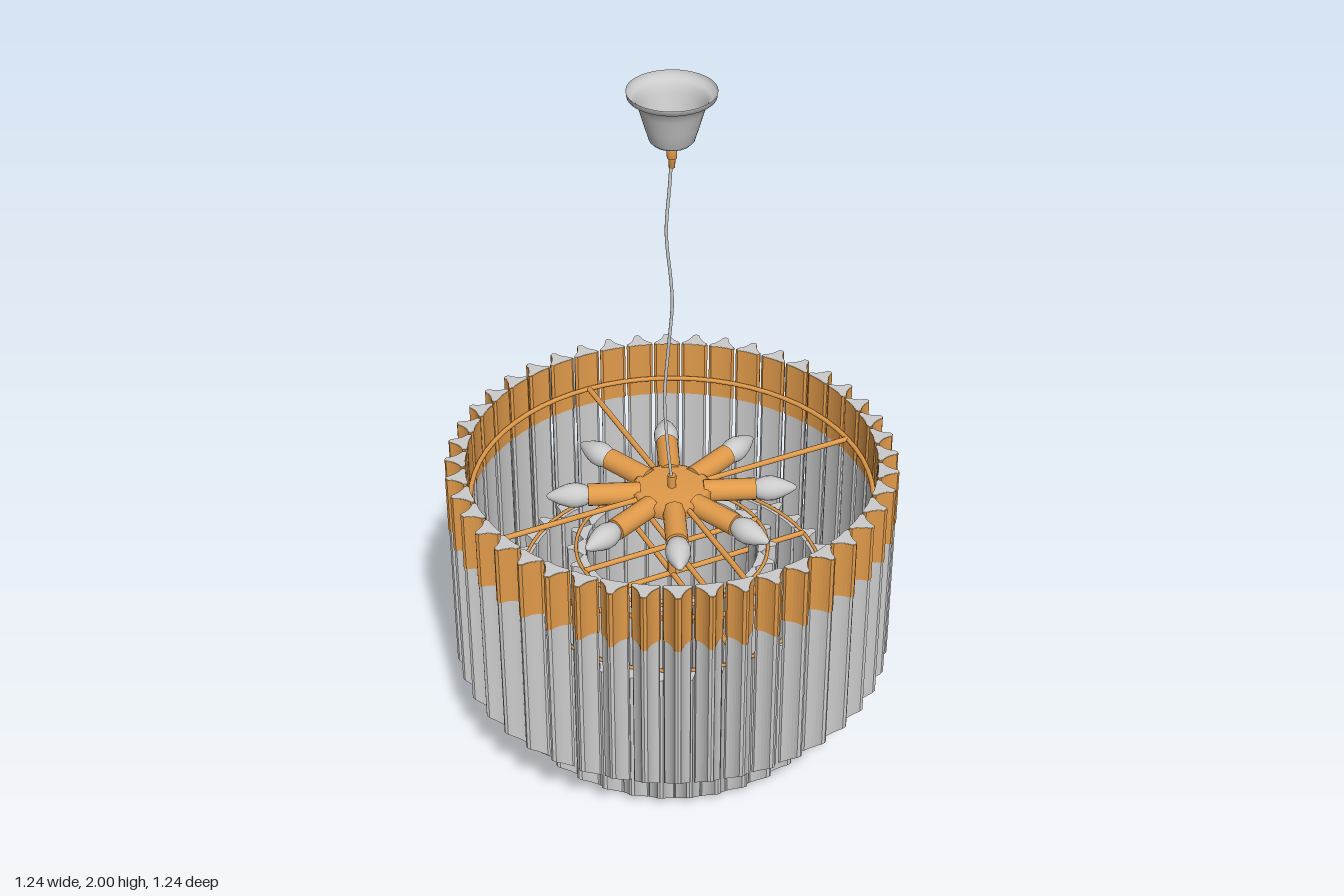
import * as THREE from 'three';

const grey = new THREE.MeshStandardMaterial({ color: 0xcccccc });
const greyThin = new THREE.MeshStandardMaterial({ color: 0xcccccc, side: THREE.DoubleSide });
const gold = new THREE.MeshStandardMaterial({ color: 0xe09a4a });

function add(parent, name, geometry, material) {
  const mesh = new THREE.Mesh(geometry, material);
  mesh.name = name;
  parent.add(mesh);
  return mesh;
}

// Three-pointed bar section with hollow sides: flat back at 0, tip pointing outwards
const DEPTH = 0.056;
function barShape(scale = 1) {
  const cy = 0.02;
  const p = (x, y) => [x * scale, cy + (y - cy) * scale];
  const s = new THREE.Shape();
  s.moveTo(...p(-0.029, 0));
  s.quadraticCurveTo(...p(0, 0.005), ...p(0.029, 0));
  s.lineTo(...p(0.036, 0.004));
  s.lineTo(...p(0.034, 0.012));
  s.quadraticCurveTo(...p(0.014, 0.025), ...p(0.008, 0.052));
  s.lineTo(...p(0, DEPTH));
  s.lineTo(...p(-0.008, 0.052));
  s.quadraticCurveTo(...p(-0.014, 0.025), ...p(-0.034, 0.012));
  s.lineTo(...p(-0.036, 0.004));
  s.closePath();
  return s;
}

// Upright bar; slant lifts the lower end towards the outer tip
function barGeometry(bottom, top, scale, slant) {
  const g = new THREE.ExtrudeGeometry(barShape(scale), {
    depth: top - bottom, bevelEnabled: false, curveSegments: 5,
  });
  const pos = g.attributes.position;
  for (let i = 0; i < pos.count; i++) {
    if (pos.getZ(i) < 1e-6) pos.setZ(i, Math.max(0, pos.getY(i)) * slant);
  }
  g.computeVertexNormals();
  g.rotateX(-Math.PI / 2);
  g.translate(0, bottom, 0);
  return g;
}

// Ring of hanging bars, with optional gold sleeves round their upper ends
function barTier(name, count, radius, bottom, top, sleeveBottom) {
  const tier = new THREE.Group();
  tier.name = name;
  const bar = barGeometry(bottom, top, 1, 0.85).translate(0, 0, -radius);
  const sleeve = sleeveBottom &&
    barGeometry(sleeveBottom, top - 0.001, 1.06, 0).translate(0, 0, -radius);
  for (let i = 0; i < count; i++) {
    const angle = (i / count) * Math.PI * 2;
    add(tier, 'glassBar', bar, grey).rotation.y = angle;
    if (sleeve) add(tier, 'goldSleeve', sleeve, gold).rotation.y = angle;
  }
  return tier;
}

// Hoop with two crossing rods
function hoopFrame(name, radius, y, tube) {
  const frame = new THREE.Group();
  frame.name = name;
  const hoop = new THREE.TorusGeometry(radius, tube, 8, 64).rotateX(Math.PI / 2);
  add(frame, 'hoop', hoop, gold);
  const rod = new THREE.CylinderGeometry(0.008, 0.008, radius * 2, 10).rotateZ(Math.PI / 2);
  for (let i = 0; i < 2; i++) add(frame, 'crossRod', rod, gold).rotation.y = (i * Math.PI) / 2;
  frame.position.y = y;
  return frame;
}

function lathe(points, segments) {
  return new THREE.LatheGeometry(points.map(([x, y]) => new THREE.Vector2(x, y)), segments);
}

export function createModel() {
  const model = new THREE.Group();
  model.name = 'tieredChandelier';

  // Three tiers of bars
  model.add(barTier('outerTier', 44, 0.564, 0.205, 0.89, 0.715));
  model.add(barTier('middleTier', 36, 0.41, 0.003, 0.48));
  model.add(barTier('innerTier', 22, 0.24, 0.1, 0.58));

  // Frames carrying the tiers
  model.add(hoopFrame('outerFrame', 0.557, 0.775, 0.007));
  model.add(hoopFrame('middleFrame', 0.425, 0.483, 0.005));
  model.add(hoopFrame('innerFrame', 0.27, 0.583, 0.005));

  // Central hub and stem
  const hub = lathe([[0, 0.745], [0.1, 0.745], [0.11, 0.752], [0.11, 0.782],
    [0.1, 0.788], [0, 0.788]], 32);
  hub.computeVertexNormals();
  add(model, 'hub', hub, gold);
  const stem = new THREE.CylinderGeometry(0.012, 0.012, 0.35, 12).translate(0, 0.65, 0);
  add(model, 'stem', stem, gold);

  // Eight lamp arms with candle bulbs
  const socket = new THREE.CylinderGeometry(0.031, 0.031, 0.145, 20)
    .translate(0, 0.16, 0).rotateX(Math.PI / 2);
  const bulb = lathe([[0.02, 0.228], [0.029, 0.24], [0.035, 0.262], [0.034, 0.283],
    [0.026, 0.308], [0.014, 0.332], [0.007, 0.344], [0, 0.348]], 20).rotateX(Math.PI / 2);
  for (let i = 0; i < 8; i++) {
    const arm = new THREE.Group();
    arm.name = 'lampArm';
    add(arm, 'socket', socket, gold);
    add(arm, 'bulb', bulb, grey);
    arm.position.y = 0.768;
    arm.rotation.y = ((i + 0.5) * Math.PI) / 4;
    model.add(arm);
  }

  // Slightly slack cord
  const cord = new THREE.CatmullRomCurve3([
    [0, 1.83, 0], [-0.006, 1.74, 0], [-0.017, 1.6, 0.002], [-0.004, 1.45, 0.003],
    [0, 1.38, 0.002], [-0.008, 1.24, -0.005], [-0.016, 1.08, -0.012],
    [-0.012, 0.95, -0.006], [0, 0.8, 0],
  ].map((p) => new THREE.Vector3(...p)));
  add(model, 'cord', new THREE.TubeGeometry(cord, 60, 0.0045, 8), grey);

  // Cord grip under the canopy
  const grip = lathe([[0, 1.785], [0.008, 1.785], [0.009, 1.81], [0.013, 1.812],
    [0.013, 1.835], [0.01, 1.838], [0.01, 1.862]], 16);
  add(model, 'cordGrip', grip, gold);

  // Open ceiling canopy
  const canopy = lathe([[0, 1.857], [0.05, 1.857], [0.058, 1.865], [0.07, 1.905],
    [0.083, 1.95], [0.09, 1.97], [0.1, 1.981], [0.113, 1.986], [0.115, 2]], 40);
  add(model, 'canopy', canopy, greyThin);

  return model;
}
